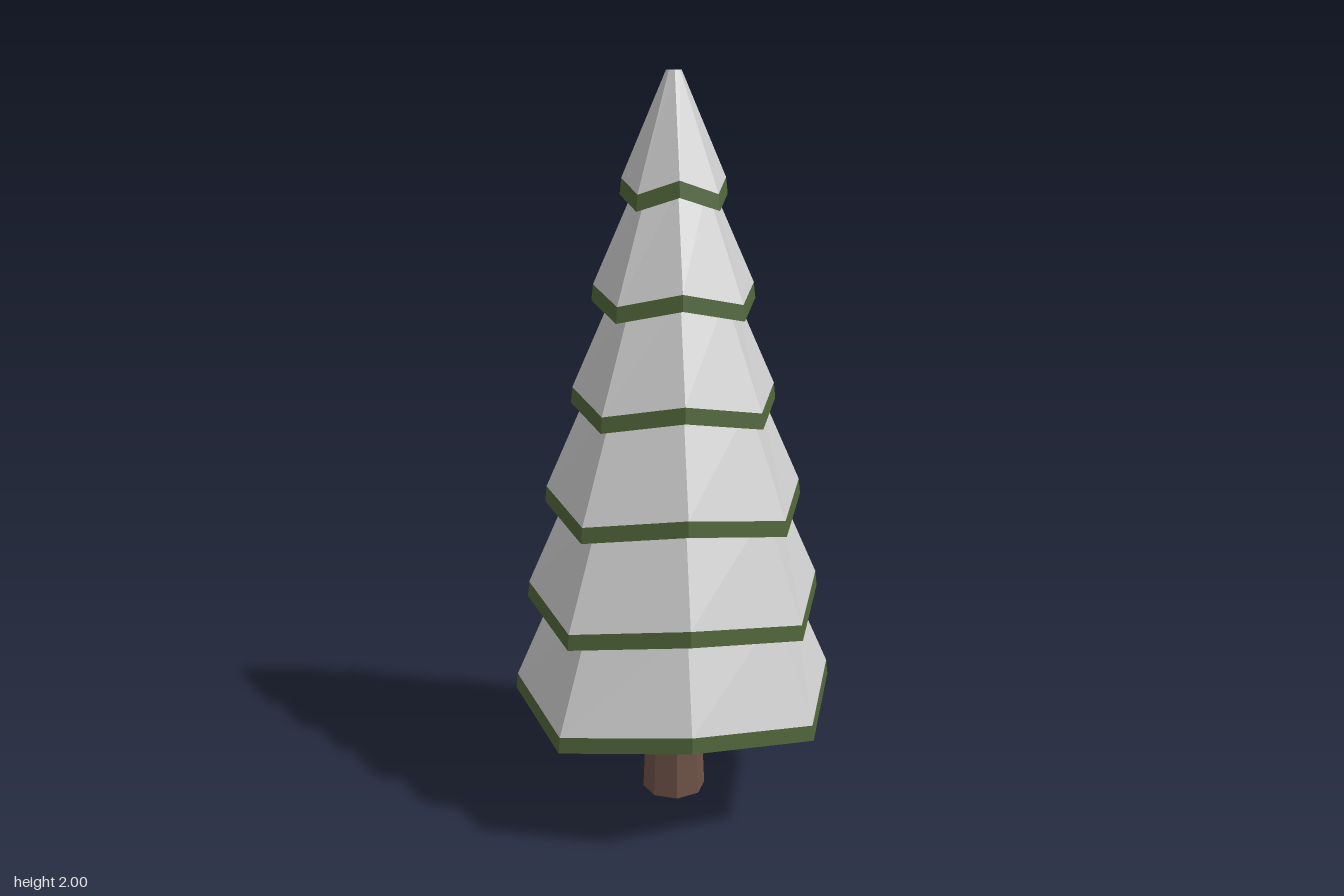
import * as THREE from 'three';

const SIDES = 8;
const snow = new THREE.MeshStandardMaterial({ color: 0xcccccc, flatShading: true });
const needles = new THREE.MeshStandardMaterial({ color: 0x50663a, flatShading: true });
const bark = new THREE.MeshStandardMaterial({ color: 0x6e5347, flatShading: true });

// Octagonal ring; every other corner (the diagonals) is drawn in and lifted.
function ring(radius, y, pinch = 1, lift = 0) {
  return Array.from({ length: SIDES }, (_, i) => {
    const a = (i / SIDES) * Math.PI * 2, odd = i % 2;
    const r = radius * (odd ? pinch : 1);
    return new THREE.Vector3(Math.sin(a) * r, y + (odd ? lift : 0), Math.cos(a) * r);
  });
}

// Skins rings listed from bottom to top along the outward side.
function loft(name, rings, material) {
  const points = [];
  for (let k = 0; k < rings.length - 1; k++) {
    for (let i = 0; i < SIDES; i++) {
      const j = (i + 1) % SIDES;
      const [a, b, c, d] = [rings[k][i], rings[k][j], rings[k + 1][j], rings[k + 1][i]];
      points.push(a, b, c, a, c, d);
    }
  }
  const geometry = new THREE.BufferGeometry().setFromPoints(points);
  geometry.computeVertexNormals();
  const mesh = new THREE.Mesh(geometry, material);
  mesh.name = name;
  return mesh;
}

export function createModel() {
  const tree = new THREE.Group();
  tree.name = 'snowyTree';

  // Trunk, closed at the foot
  tree.add(loft('trunk', [
    ring(0, 0), ring(0.089, 0), ring(0.082, 0.16), ring(0.084, 0.36), ring(0, 0.36),
  ], bark));

  // Six tiers of branches, each a snow cone on a green rim and underside
  const radii = [0.475, 0.433, 0.375, 0.295, 0.232, 0.15];
  const PINCH = 0.938, LIFT = 0.036, RIM = 0.042;
  radii.forEach((r, i) => {
    const y = 0.29 + i * 0.273;
    const last = i === radii.length - 1;
    const tier = new THREE.Group();
    tier.name = `tier${i + 1}`;

    const rimTop = ring(r - 0.005, y + RIM, PINCH, LIFT);
    const top = last ? ring(0.02, 2) : ring(r - 0.125, y + 0.33, PINCH);
    const tip = ring(0, last ? 2 : y + 0.33);
    tier.add(loft('snowCover', [rimTop, top, tip], snow));

    // Underside rises slightly behind the lip
    tier.add(loft('branchRim', [
      ring(0, y + 0.045),
      ring(r * 0.86, y + 0.025, PINCH, LIFT * 0.8),
      ring(r, y, PINCH, LIFT),
      rimTop,
    ], needles));
    tree.add(tier);
  });
  return tree;
}
